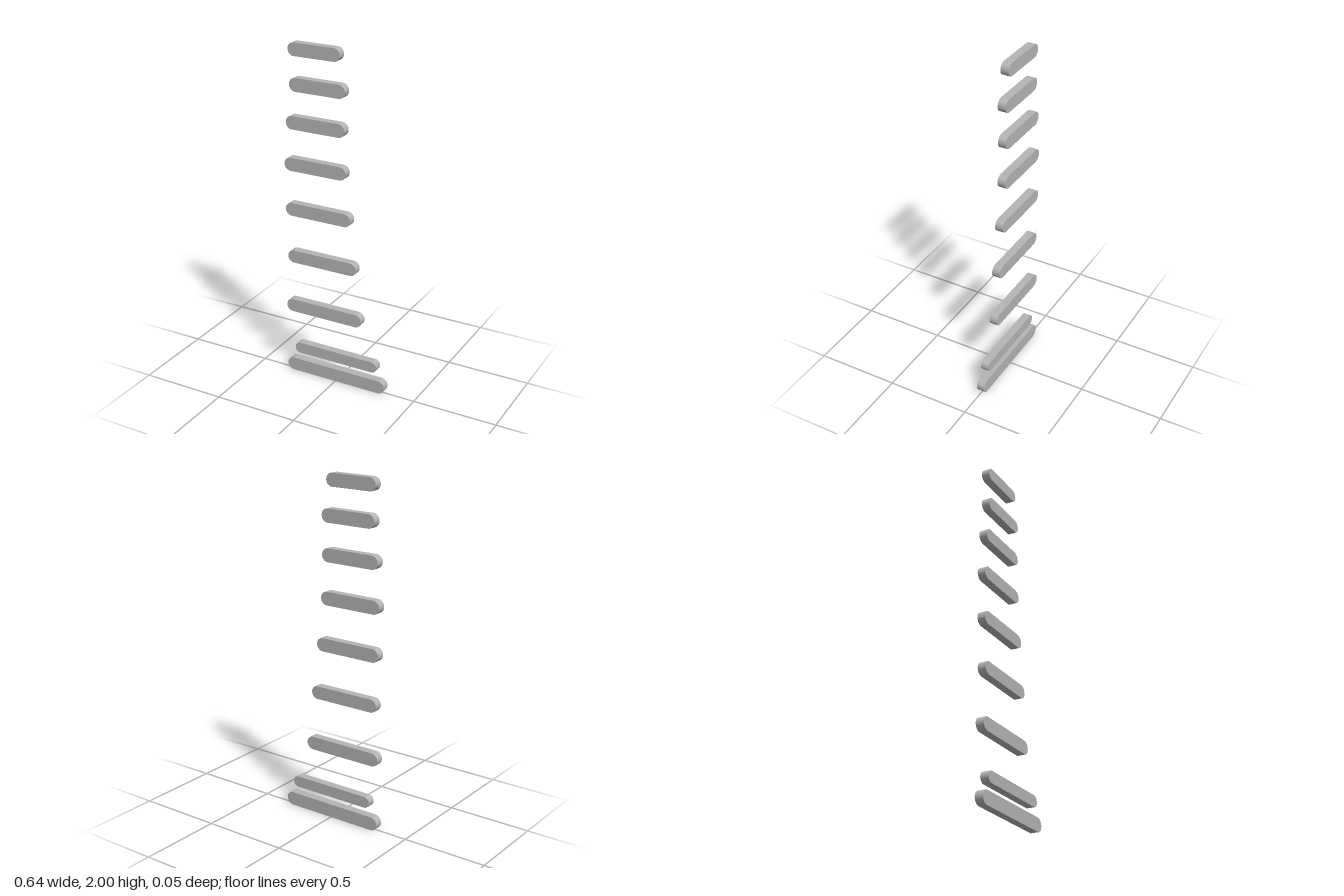
import * as THREE from 'three';

const DEPTH = 0.048;

// Each bar: left end x, right end x, bottom y, top y
const BARS = [
  [-0.32, 0.32, 0, 0.08],
  [-0.267, 0.27, 0.127, 0.193],
  [-0.32, 0.167, 0.393, 0.471],
  [-0.307, 0.132, 0.71, 0.786],
  [-0.317, 0.095, 1.0, 1.077],
  [-0.32, 0.066, 1.27, 1.347],
  [-0.307, 0.058, 1.513, 1.59],
  [-0.283, 0.06, 1.73, 1.807],
  [-0.288, 0.029, 1.926, 2.0],
];

// Flat bar with fully rounded ends
function barGeometry(x0, x1, y0, y1) {
  const r = (y1 - y0) / 2;
  const y = (y0 + y1) / 2;
  const shape = new THREE.Shape();
  shape.absarc(x1 - r, y, r, -Math.PI / 2, Math.PI / 2, false);
  shape.absarc(x0 + r, y, r, Math.PI / 2, Math.PI * 1.5, false);
  shape.closePath();
  const geometry = new THREE.ExtrudeGeometry(shape, {
    depth: DEPTH, bevelEnabled: false, curveSegments: 10,
  });
  return geometry.translate(0, 0, -DEPTH / 2);
}

export function createModel() {
  const group = new THREE.Group();
  group.name = 'stackedBars';
  const grey = new THREE.MeshStandardMaterial({ color: 0xb4b4b4 });
  grey.name = 'grey';

  // Separate bars, shorter towards the top
  BARS.forEach((bar, i) => {
    const mesh = new THREE.Mesh(barGeometry(...bar), grey);
    mesh.name = `bar${i + 1}`;
    group.add(mesh);
  });
  return group;
}
